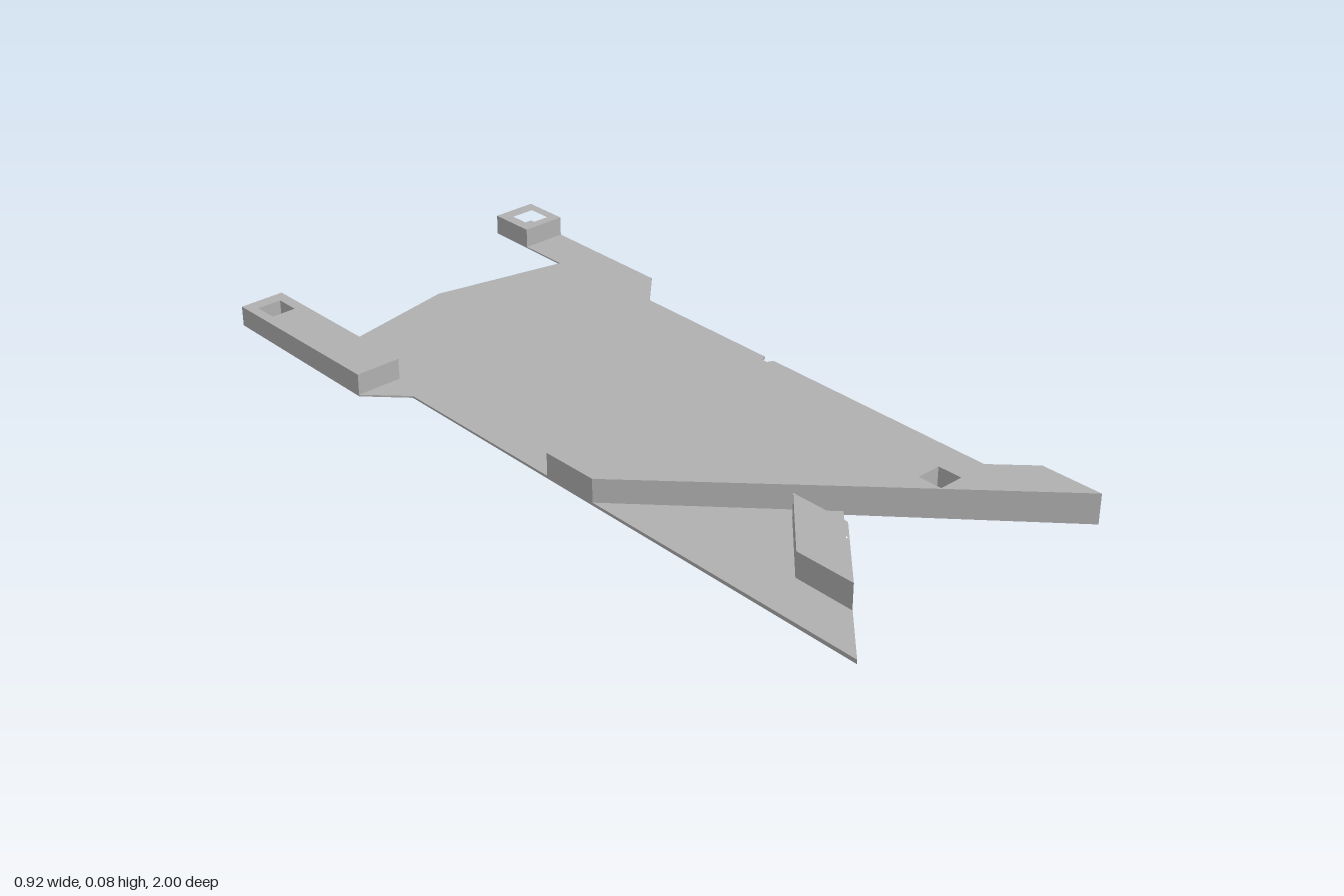
import * as THREE from 'three';

const grey = new THREE.MeshStandardMaterial({ color: 0xb0b0b0 });
grey.name = 'grey';

// Upright slab from an outline of [x, z] points, with square holes
// and a top that rises gently towards the front.
function slab(name, outline, holes, bottom, top) {
  const toPoints = (list) => list.map(([x, z]) => new THREE.Vector2(x, -z));
  const shape = new THREE.Shape(toPoints(outline));
  const h = 0.032;
  for (const [x, z] of holes) {
    shape.holes.push(new THREE.Path(toPoints([
      [x - h, z - h], [x + h, z - h], [x + h, z + h], [x - h, z + h],
    ])));
  }
  const geometry = new THREE.ExtrudeGeometry(shape, { depth: 1, bevelEnabled: false });
  geometry.rotateX(-Math.PI / 2);
  const p = geometry.attributes.position;
  for (let i = 0; i < p.count; i++) {
    p.setY(i, p.getY(i) > 0.5 ? top(p.getZ(i)) : bottom);
  }
  geometry.computeVertexNormals();
  const mesh = new THREE.Mesh(geometry, grey);
  mesh.name = name;
  return mesh;
}

export function createModel() {
  const group = new THREE.Group();
  group.name = 'mountingPlate';

  const plateTop = (z) => 0.0065 + 0.004 * z;
  const blockTop = (z) => 0.0643 + 0.0125 * z;
  const rearHole = (side) => [side * 0.405, -0.933];
  const frontHole = (side) => [side * 0.175, 0.723];

  // Thin base with a forked front, two rear arms and a small side notch
  group.add(slab('basePlate', [
    [-0.373, 1], [0, 0.61], [0.373, 1],
    [0.373, 0.025], [0.357, 0.018], [0.357, 0], [0.373, -0.005],
    [0.373, -0.42], [0.462, -0.51], [0.462, -1], [0.345, -1], [0.345, -0.74],
    [0, -0.81],
    [-0.345, -0.74], [-0.345, -1], [-0.462, -1], [-0.462, -0.51], [-0.373, -0.42],
  ], [rearHole(-1), rearHole(1), frontHole(-1), frontHole(1)], 0, plateTop));

  // Long and short blocks on the rear arms
  for (const [name, side, front] of [['longRearBlock', -1, -0.51], ['shortRearBlock', 1, -0.875]]) {
    const inner = side * 0.345, outer = side * 0.462;
    group.add(slab(name, [
      [inner, -1], [outer, -1], [outer, front], [inner, front],
    ], [rearHole(side)], 0.002, blockTop));
  }

  // Diagonal bar across the front
  group.add(slab('diagonalBar', [
    [-0.373, 0.07], [-0.373, 0.222], [0, 0.61], [0.373, 1], [0.373, 0.84],
  ], [frontHole(1)], 0.003, blockTop));

  // Short slanted block on the right fork
  group.add(slab('slantedBlock', [
    [-0.1, 0.555], [-0.1, 0.714], [-0.258, 0.879], [-0.258, 0.72],
  ], [frontHole(-1)], 0.003, blockTop));

  return group;
}
